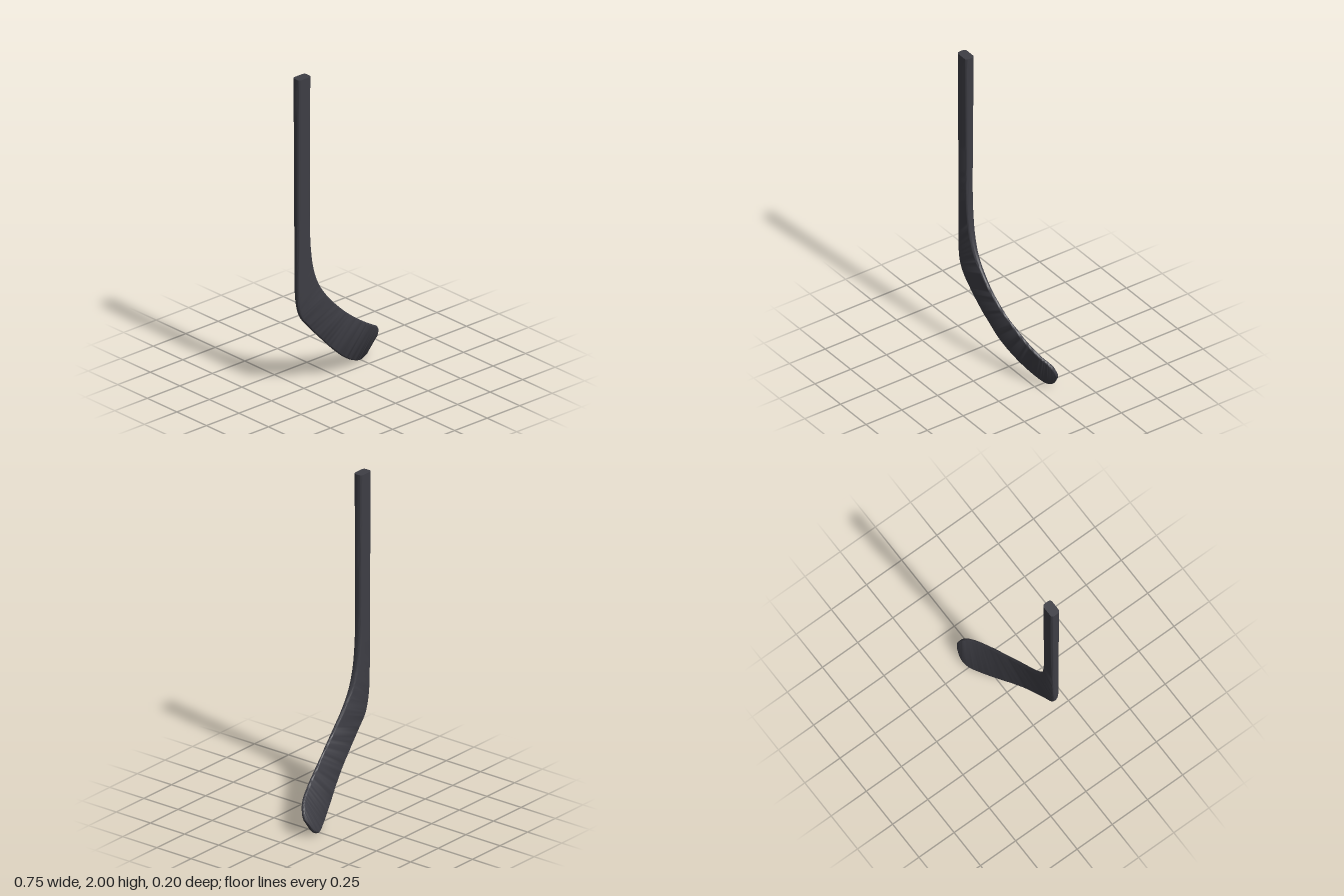
import * as THREE from 'three';
import { toCreasedNormals } from 'three/addons/utils/BufferGeometryUtils.js';

const V = (x, y, z) => new THREE.Vector3(x, y, z);

// Stations from the shaft end to the toe: [upper edge, lower edge, [thickness, corner radius]]
const stations = [
  [[-0.281, 2, 0.069], [-0.375, 2, 0.069], [0.06, 0.018]],
  [[-0.281, 1.4, 0.069], [-0.375, 1.4, 0.069], [0.054, 0.018]],
  [[-0.281, 1.1, 0.07], [-0.375, 1.06, 0.07], [0.05, 0.018]],
  [[-0.273, 0.92, 0.07], [-0.375, 0.82, 0.07], [0.047, 0.018]],
  [[-0.25, 0.78, 0.071], [-0.375, 0.66, 0.071], [0.042, 0.017]],
  [[-0.21, 0.675, 0.072], [-0.368, 0.57, 0.072], [0.034, 0.015]],
  [[-0.15, 0.585, 0.071], [-0.345, 0.5, 0.07], [0.027, 0.012]],
  [[-0.07, 0.497, 0.068], [-0.28, 0.42, 0.067], [0.022, 0.01]],
  [[0.03, 0.407, 0.056], [-0.16, 0.295, 0.054], [0.02, 0.009]],
  [[0.13, 0.332, 0.036], [-0.04, 0.18, 0.03], [0.02, 0.009]],
  [[0.22, 0.271, 0.015], [0.08, 0.085, -0.012], [0.02, 0.009]],
  [[0.3, 0.222, -0.012], [0.19, 0.022, -0.055], [0.02, 0.009]],
  [[0.338, 0.197, -0.033], [0.255, 0.001, -0.08], [0.02, 0.009]],
  [[0.36, 0.17, -0.05], [0.31, 0.024, -0.09], [0.02, 0.009]],
  [[0.371, 0.14, -0.062], [0.35, 0.075, -0.084], [0.018, 0.008]],
  [[0.374, 0.118, -0.069], [0.367, 0.102, -0.075], [0.014, 0.006]],
];
const last = stations.length - 1;
const curve = k => new THREE.CatmullRomCurve3(stations.map(s => V(s[k][0], s[k][1], s[k][2] ?? 0)));
const upper = curve(0), lower = curve(1), profile = curve(2);
const middle = t => upper.getPoint(t).add(lower.getPoint(t)).multiplyScalar(0.5);

// Rounded-rectangle cross-section at curve parameter t
function section(t) {
  const a = upper.getPoint(t), b = lower.getPoint(t);
  const { x: thickness, y: radius } = profile.getPoint(t);
  const width = a.distanceTo(b);
  const u = a.clone().sub(b).normalize();
  const along = middle(Math.min(1, t + 0.004)).sub(middle(Math.max(0, t - 0.004)));
  const n = u.clone().cross(along).normalize();
  const r = Math.min(radius, width / 2, thickness / 2);
  const mid = middle(t), points = [], arc = 6;
  for (let corner = 0; corner < 4; corner++) {
    const su = corner === 0 || corner === 3 ? 1 : -1, sn = corner < 2 ? 1 : -1;
    for (let i = 0; i <= arc; i++) {
      const angle = (corner + i / arc) * Math.PI / 2;
      points.push(mid.clone()
        .addScaledVector(u, su * (width / 2 - r) + r * Math.cos(angle))
        .addScaledVector(n, sn * (thickness / 2 - r) + r * Math.sin(angle)));
    }
  }
  return points;
}

// Skin the sections between two stations; close one end with a fan
function loft(from, to, capStart, capEnd) {
  const steps = (to - from) * 8, positions = [], index = [];
  const add = p => positions.push(p.x, p.y, p.z);
  let count = 0;
  for (let i = 0; i <= steps; i++) {
    const ring = section((from + (to - from) * i / steps) / last);
    count = ring.length;
    ring.forEach(add);
  }
  for (let i = 0; i < steps; i++) {
    for (let j = 0; j < count; j++) {
      const k = (j + 1) % count, a = i * count, b = a + count;
      index.push(a + j, b + j, a + k, a + k, b + j, b + k);
    }
  }
  const cap = (ring, station, flip) => {
    const centre = positions.length / 3;
    add(middle(station / last));
    for (let j = 0; j < count; j++) {
      const p = ring * count + j, q = ring * count + (j + 1) % count;
      index.push(centre, flip ? q : p, flip ? p : q);
    }
  };
  if (capStart) cap(0, from, false);
  if (capEnd) cap(steps, to, true);
  const geometry = new THREE.BufferGeometry();
  geometry.setAttribute('position', new THREE.Float32BufferAttribute(positions, 3));
  geometry.setIndex(index);
  return toCreasedNormals(geometry, 0.8);
}

export function createModel() {
  const model = new THREE.Group();
  model.name = 'hockeyStick';
  const material = new THREE.MeshStandardMaterial({ color: 0x3e3e45 });
  const part = (name, geometry) => {
    const mesh = new THREE.Mesh(geometry, material);
    mesh.name = name;
    model.add(mesh);
  };
  // Straight shaft, then the throat sweeping into the curved, twisted blade
  part('shaft', loft(0, 2, true, false));
  part('blade', loft(2, last, false, true));
  return model;
}
